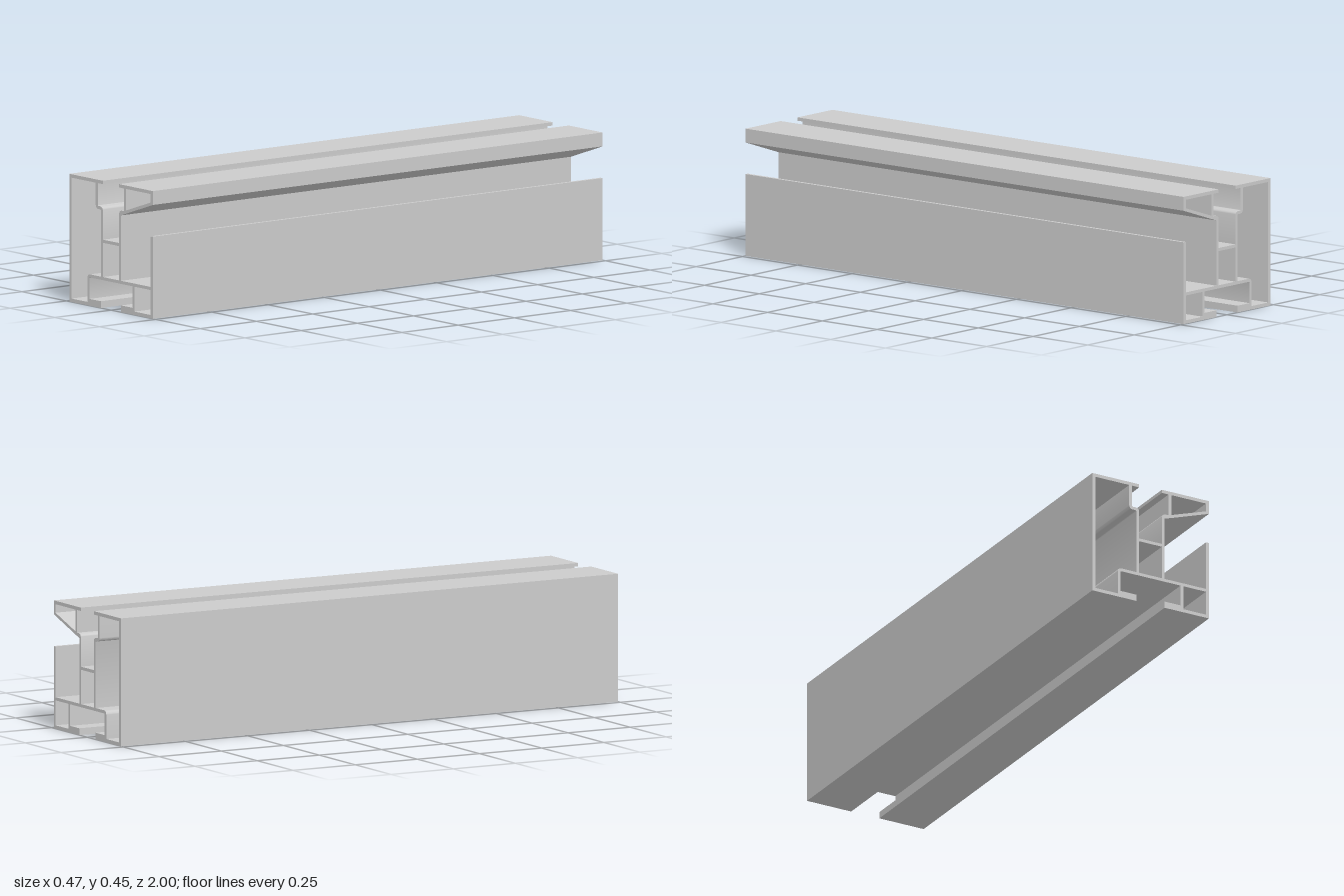
import * as THREE from 'three';
import { toCreasedNormals } from 'three/addons/utils/BufferGeometryUtils.js';

const LENGTH = 2;

// Draws a closed path through corners [x, y, radius]; a radius rounds the corner.
function drawPath(path, corners) {
  const K = 0.5523;
  const v = corners.map(([x, y]) => new THREE.Vector2(x, y));
  v.forEach((p, i) => {
    const r = corners[i][2] || 0;
    const prev = v[(i + v.length - 1) % v.length];
    const next = v[(i + 1) % v.length];
    const dirIn = prev.clone().sub(p).normalize();
    const dirOut = next.clone().sub(p).normalize();
    const a = p.clone().addScaledVector(dirIn, r);
    if (i === 0) path.moveTo(a.x, a.y);
    else path.lineTo(a.x, a.y);
    if (r > 0) {
      const c1 = p.clone().addScaledVector(dirIn, r * (1 - K));
      const c2 = p.clone().addScaledVector(dirOut, r * (1 - K));
      const b = p.clone().addScaledVector(dirOut, r);
      path.bezierCurveTo(c1.x, c1.y, c2.x, c2.y, b.x, b.y);
    }
  });
  path.closePath();
  return path;
}

export function createModel() {
  const group = new THREE.Group();
  group.name = 'mountingRail';

  // Outer contour, counter-clockwise from the bottom left corner
  const section = drawPath(new THREE.Shape(), [
    // left foot and bottom slot
    [-0.234, 0], [-0.057, 0], [-0.057, 0.024], [-0.121, 0.024],
    [-0.121, 0.1, 0.004], [0.12, 0.1], [0.12, 0.024], [0.056, 0.024], [0.056, 0],
    // right side wall and open side channel
    [0.234, 0], [0.234, 0.29], [0.222, 0.29], [0.222, 0.111],
    [0.056, 0.111], [0.056, 0.342], [0.234, 0.402],
    // right top flange and lip
    [0.234, 0.451], [0.045, 0.451], [0.045, 0.439], [0.072, 0.439],
    // top slot with its stepped shoulders
    [0.072, 0.359], [0.045, 0.359, 0.014], [0.045, 0.243],
    [-0.046, 0.243], [-0.046, 0.359, 0.014], [-0.074, 0.359, 0.003],
    // left top lip and flange
    [-0.074, 0.439], [-0.046, 0.439], [-0.046, 0.451], [-0.234, 0.451],
  ]);

  // Closed chambers
  const chambers = [
    // tall left chamber
    [[-0.222, 0.012], [-0.132, 0.012], [-0.132, 0.111, 0.014], [-0.057, 0.111],
      [-0.057, 0.348, 0.004], [-0.086, 0.348, 0.014], [-0.086, 0.439], [-0.222, 0.439]],
    // centre chamber
    [[-0.046, 0.111], [0.045, 0.111], [0.045, 0.232], [-0.046, 0.232]],
    // tapered upper right chamber
    [[0.084, 0.363], [0.222, 0.409], [0.222, 0.439], [0.084, 0.439]],
    // lower right chamber
    [[0.131, 0.012], [0.222, 0.012], [0.222, 0.1], [0.131, 0.1]],
  ];
  chambers.forEach((c) => section.holes.push(drawPath(new THREE.Path(), c)));

  const extrusion = new THREE.ExtrudeGeometry(section, {
    depth: LENGTH, bevelEnabled: false, curveSegments: 6,
  });
  extrusion.translate(0, 0, -LENGTH / 2);

  const rail = new THREE.Mesh(
    toCreasedNormals(extrusion, 0.5),
    new THREE.MeshStandardMaterial({ color: 0xcccccc }),
  );
  rail.name = 'hollowRailProfile';
  group.add(rail);
  return group;
}
